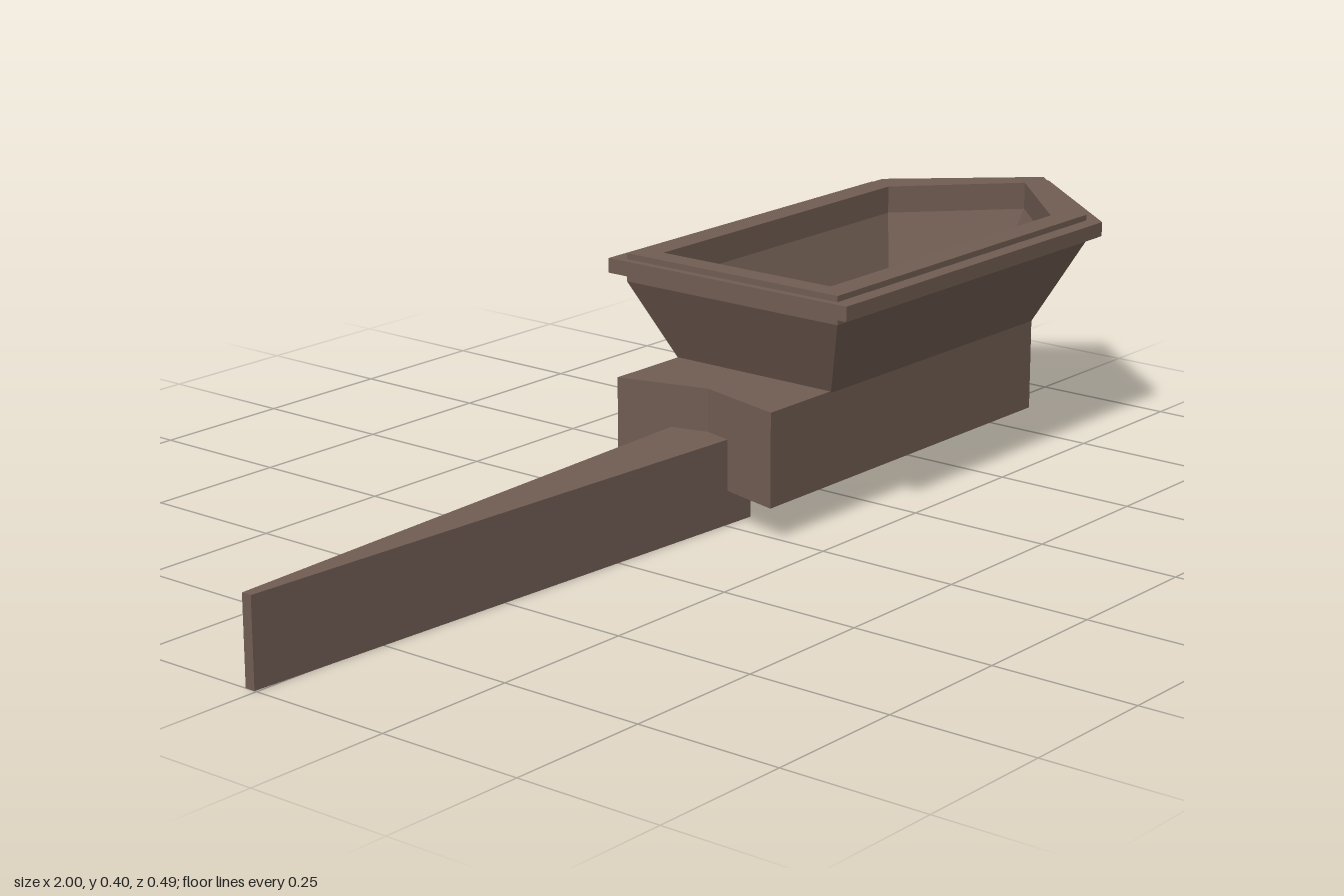
import * as THREE from 'three';

const NOSE_Z = -0.003;

// Pointed plan: square stern, straight sides, bow meeting at a tip
const boatPlan = (stern, shoulder, tip, w) =>
  [[stern, w], [shoulder, w], [tip, NOSE_Z], [shoulder, -w], [stern, -w]];

// Skin a list of { y, plan } sections; caps are fans from the first point
function loft(sections, capBottom, capTop) {
  const pos = [];
  const rings = sections.map(({ y, plan }) => plan.map(([x, z]) => [x, y, z]));
  const tri = (a, b, c) => pos.push(...a, ...b, ...c);
  const n = rings[0].length;
  for (let k = 0; k < rings.length - 1; k++) {
    const lo = rings[k], hi = rings[k + 1];
    for (let i = 0; i < n; i++) {
      const j = (i + 1) % n;
      tri(lo[i], lo[j], hi[j]);
      tri(lo[i], hi[j], hi[i]);
    }
  }
  const first = rings[0], last = rings[rings.length - 1];
  for (let i = 1; i < n - 1; i++) {
    if (capBottom) tri(first[0], first[i + 1], first[i]);
    if (capTop) tri(last[0], last[i], last[i + 1]);
  }
  const geo = new THREE.BufferGeometry();
  geo.setAttribute('position', new THREE.Float32BufferAttribute(pos, 3));
  geo.computeVertexNormals();
  return geo;
}

const prism = (plan, y0, y1) => loft([{ y: y0, plan }, { y: y1, plan }], true, true);

export function createModel() {
  const group = new THREE.Group();
  const material = new THREE.MeshStandardMaterial({ color: 0x705c52, flatShading: true });
  const add = (name, geometry) => {
    const mesh = new THREE.Mesh(geometry, material);
    mesh.name = name;
    group.add(mesh);
    return mesh;
  };

  // Long tapering tail beam
  add('tail', prism([[-1, -0.004], [0.063, 0.052], [0.063, -0.07], [-1, -0.022]], 0, 0.145));

  // Lower hull block with a V notch in the stern
  add('lowerHull', prism(
    [[0.02, NOSE_Z], [-0.022, 0.16], [0.71, 0.16], [0.855, NOSE_Z], [0.71, -0.16], [-0.022, -0.16]],
    0.058, 0.218));

  // Flared upper hull: outside, rim moulding, top edge, then down the inside to the floor
  const outer = boatPlan(0.072, 0.783, 0.98, 0.219);
  const rim = boatPlan(0.058, 0.79, 0.998, 0.247);
  const opening = boatPlan(0.113, 0.74, 0.92, 0.174);
  add('upperHull', loft([
    { y: 0.215, plan: boatPlan(0.135, 0.71, 0.855, 0.16) },
    { y: 0.352, plan: outer },
    { y: 0.365, plan: outer },
    { y: 0.365, plan: rim },
    { y: 0.39, plan: rim },
    { y: 0.39, plan: outer },
    { y: 0.4, plan: outer },
    { y: 0.4, plan: opening },
    { y: 0.352, plan: opening },
    { y: 0.224, plan: boatPlan(0.17, 0.685, 0.82, 0.13) },
  ], false, true));

  // Seat across the stern, narrowing downward with the hull walls
  add('seat', loft([
    { y: 0.222, plan: [[0.165, 0.135], [0.3, 0.135], [0.3, -0.135], [0.165, -0.135]] },
    { y: 0.31, plan: [[0.125, 0.155], [0.3, 0.155], [0.3, -0.155], [0.125, -0.155]] },
  ], true, true));

  return group;
}
